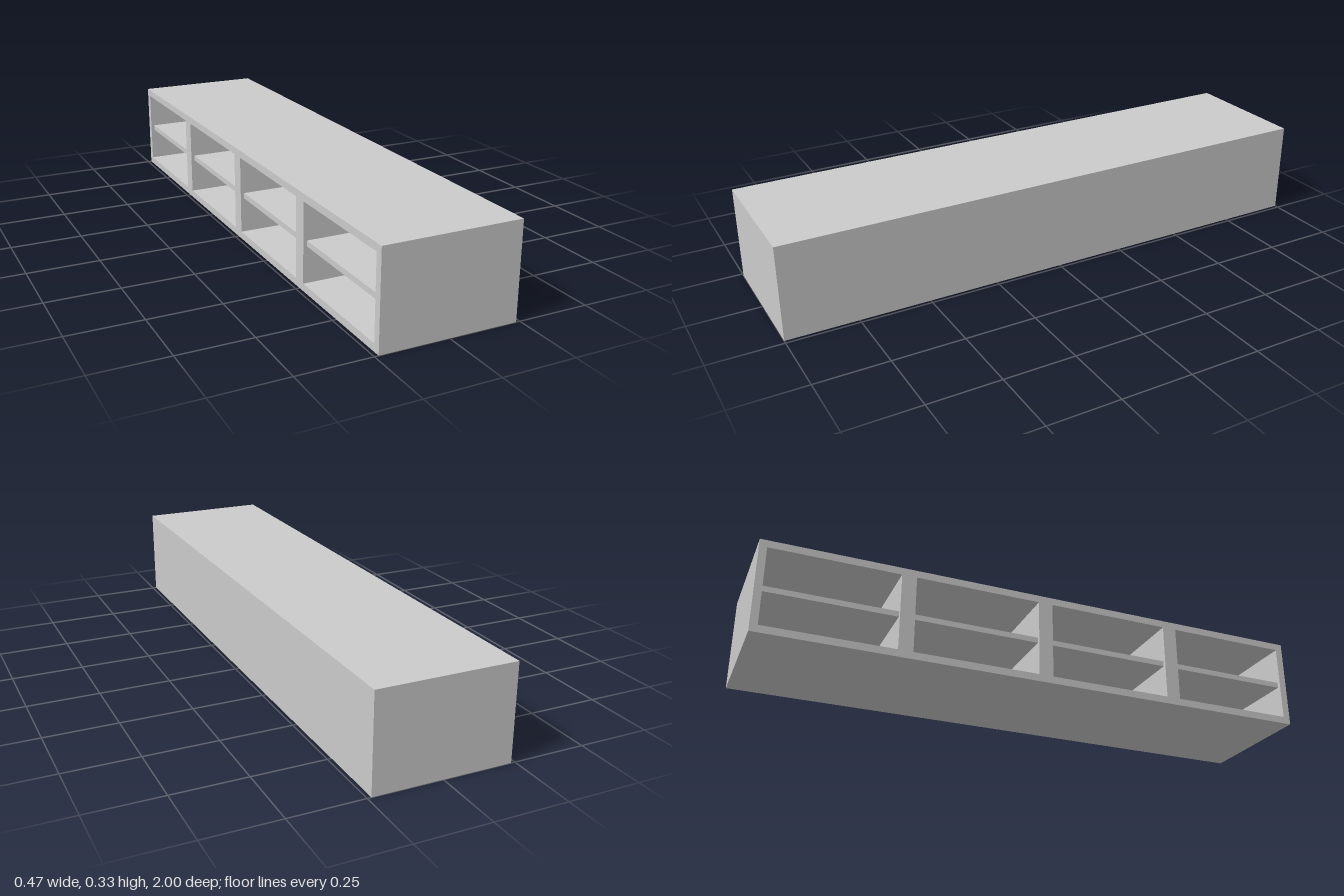
import * as THREE from 'three';

export function createModel() {
  const group = new THREE.Group();
  const material = new THREE.MeshStandardMaterial({ color: 0xcccccc });
  const W = 0.473, H = 0.33, L = 2, wall = 0.026, back = 0.02;
  const bays = 4, pitch = L / bays, bayLength = pitch - 2 * wall;
  const bayCentre = (i) => -L / 2 + pitch * (i + 0.5);

  const add = (name, geometry, x = 0, y = 0, z = 0) => {
    const mesh = new THREE.Mesh(geometry, material);
    mesh.name = name;
    mesh.position.set(x, y, z);
    group.add(mesh);
  };
  const rectangle = (path, u, v, w, h) =>
    path.moveTo(u, v).lineTo(u + w, v).lineTo(u + w, v + h).lineTo(u, v + h).closePath();

  // Carcass: a long frame with one opening per bay, running through to the -x side
  const outline = rectangle(new THREE.Shape(), -L / 2, 0, L, H);
  for (let i = 0; i < bays; i++) {
    outline.holes.push(
      rectangle(new THREE.Path(), bayCentre(i) - bayLength / 2, wall, bayLength, H - 2 * wall));
  }
  const carcass = new THREE.ExtrudeGeometry(outline, { depth: W - back, bevelEnabled: false });
  carcass.rotateY(-Math.PI / 2);
  add('carcass', carcass, W / 2 - back);

  // Closed panel on the +x side
  add('backPanel', new THREE.BoxGeometry(back, H, L), W / 2 - back / 2, H / 2);

  // One shelf per bay, set slightly back from the open side
  const recess = 0.013, depth = W - back - recess;
  for (let i = 0; i < bays; i++) {
    add(`shelf${i + 1}`, new THREE.BoxGeometry(depth, 0.02, bayLength),
      -W / 2 + recess + depth / 2, 0.161, bayCentre(i));
  }
  return group;
}
